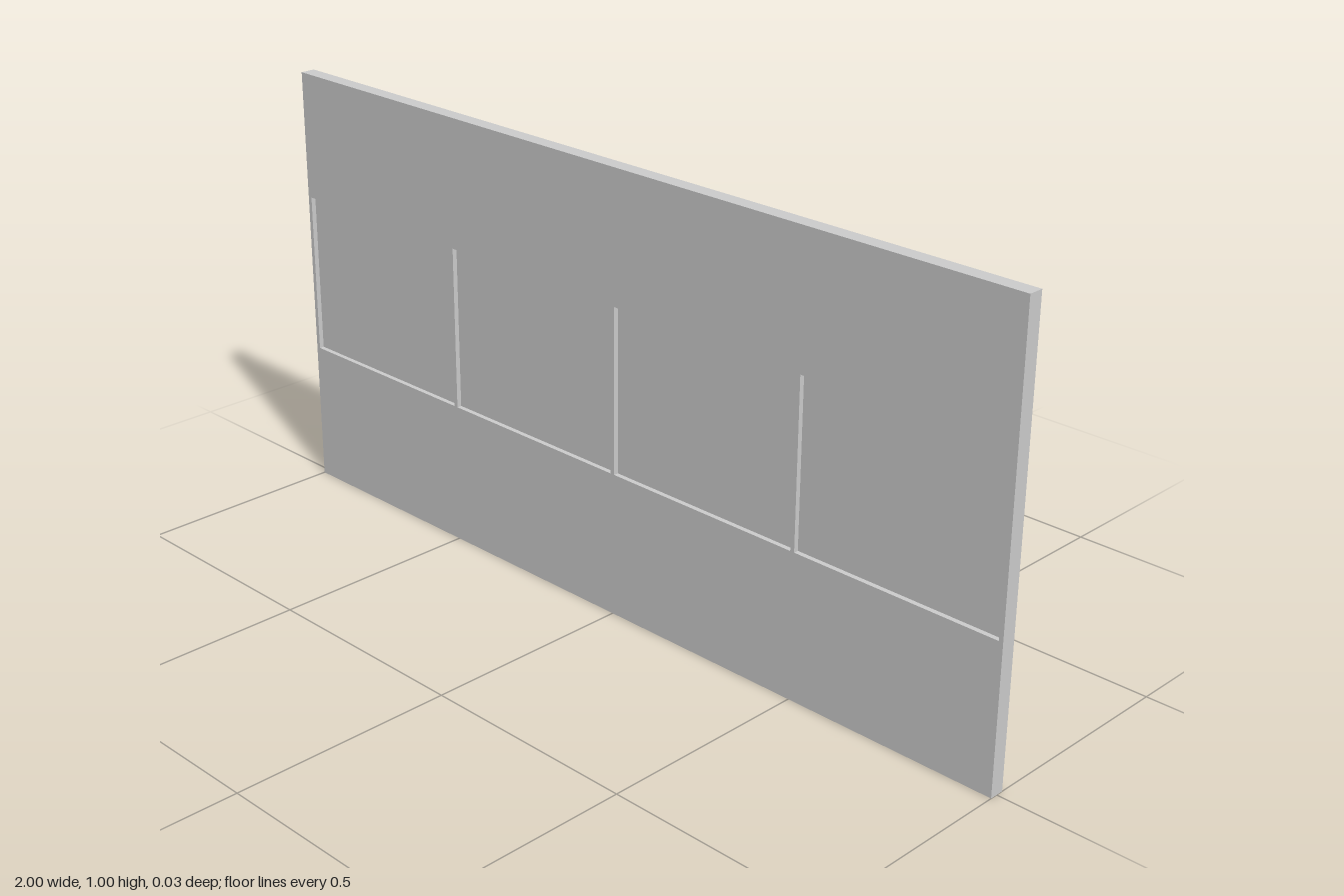
import * as THREE from 'three';

export function createModel() {
  const group = new THREE.Group();
  const material = new THREE.MeshStandardMaterial({ color: 0xcccccc });
  const depth = 0.034;
  const pane = { count: 4, width: 0.4875, gap: 0.01, bottom: 0.33, top: 0.705, depth: 0.012 };
  const pitch = pane.width + pane.gap;
  const centres = Array.from({ length: pane.count }, (_, i) => (i - (pane.count - 1) / 2) * pitch);

  const rect = (Type, x0, y0, x1, y1) => new Type([
    new THREE.Vector2(x0, y0), new THREE.Vector2(x1, y0),
    new THREE.Vector2(x1, y1), new THREE.Vector2(x0, y1),
  ]);

  // Wall slab with a row of four openings
  const outline = rect(THREE.Shape, -1, 0, 1, 1);
  for (const x of centres) {
    outline.holes.push(rect(THREE.Path, x - pane.width / 2, pane.bottom, x + pane.width / 2, pane.top));
  }
  const wallGeometry = new THREE.ExtrudeGeometry(outline, { depth, bevelEnabled: false });
  wallGeometry.translate(0, 0, -depth / 2);
  const wall = new THREE.Mesh(wallGeometry, material);
  wall.name = 'wallPanel';
  group.add(wall);

  // Thin panes, recessed from both faces of the wall
  const paneGeometry = new THREE.BoxGeometry(pane.width, pane.top - pane.bottom, pane.depth);
  centres.forEach((x, i) => {
    const mesh = new THREE.Mesh(paneGeometry, material);
    mesh.name = `windowPane${i + 1}`;
    mesh.position.set(x, (pane.bottom + pane.top) / 2, 0);
    group.add(mesh);
  });

  return group;
}
